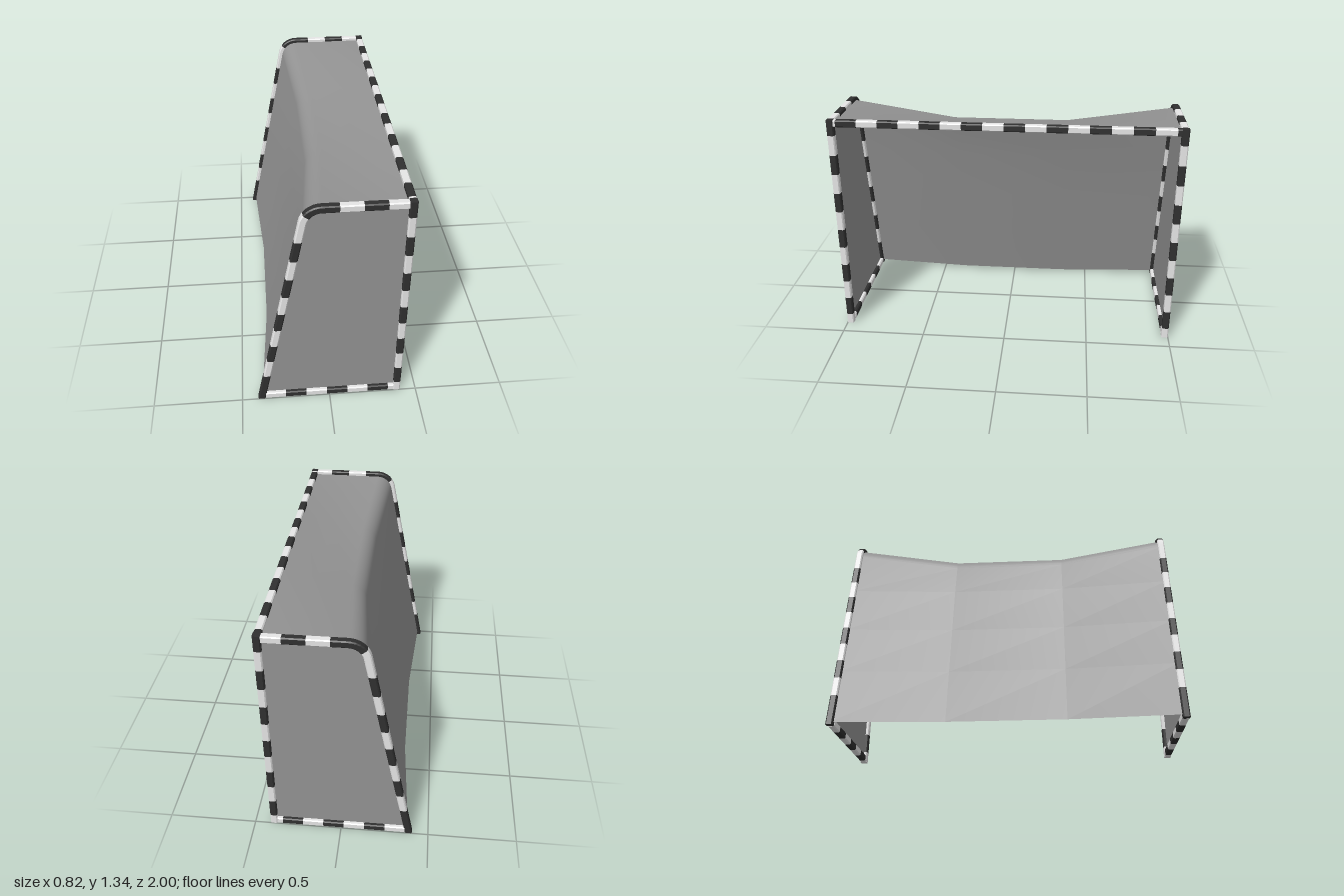
import * as THREE from 'three';
import { mergeGeometries } from 'three/addons/utils/BufferGeometryUtils.js';

const H = 0.02, C = 0.014; // half bar width, chamfer start
const SECTION = [[H, -C], [H, C], [C, H], [-C, H], [-H, C], [-H, -C], [-C, -H], [C, -H]];
const TOP = 1.317, SIDE_Z = 0.98;
const ARC = { x: -0.05, y: 1.22, r: 0.097 }; // rear top bend of the frame
const rad = THREE.MathUtils.degToRad;

// Chamfered square bar swept through stations { p, n, b } (centre and two section axes)
function sweep(stations) {
  const pos = [];
  const rings = stations.map(({ p, n, b }) =>
    SECTION.map(([u, v]) => p.clone().addScaledVector(n, u).addScaledVector(b, v)));
  const tri = (...pts) => pts.forEach((q) => pos.push(q.x, q.y, q.z));
  for (let k = 0; k < rings.length - 1; k++) {
    for (let i = 0; i < 8; i++) {
      const j = (i + 1) % 8, a = rings[k], c = rings[k + 1];
      tri(a[i], a[j], c[j]);
      tri(a[i], c[j], c[i]);
    }
  }
  const first = rings[0], last = rings[rings.length - 1];
  for (let i = 1; i < 7; i++) {
    tri(first[0], first[i + 1], first[i]);
    tri(last[0], last[i], last[i + 1]);
  }
  const g = new THREE.BufferGeometry();
  g.setAttribute('position', new THREE.Float32BufferAttribute(pos, 3));
  g.computeVertexNormals();
  return g;
}

const station = (x, y, z, n, b) => ({
  p: new THREE.Vector3(x, y, z), n: new THREE.Vector3(...n), b: new THREE.Vector3(...b),
});
const Z = [0, 0, 1];
const post = (y) => station(0.39, y, 0, [-1, 0, 0], Z);
const wallX = (y) => -0.388 + 0.196 * y;
const slope = (y) => station(wallX(y), y, 0, [-1.02, 0, 0], Z);
const base = (x) => station(x, 0.02, 0, [0, 1, 0], Z);
const roof = (x) => station(x, TOP, 0, [0, 1, 0], Z);
const cross = (z) => station(0.39, TOP, z, [1, 0, 0], [0, 1, 0]);
const bend = (deg) => {
  const c = Math.cos(rad(deg)), s = Math.sin(rad(deg));
  return station(ARC.x + ARC.r * c, ARC.y + ARC.r * s, 0, [c, s, 0], Z);
};

// Alternating pieces between cuts; colour 0 is light, 1 is dark
function stripes(cuts, at, firstColour) {
  return cuts.slice(1).map((c, i) => ({
    geo: sweep([at(cuts[i]), at(c)]), colour: (i + firstColour) % 2,
  }));
}

export function createModel() {
  const model = new THREE.Group();
  const mat = (name, color, side = THREE.FrontSide) => {
    const m = new THREE.MeshStandardMaterial({ color, side });
    m.name = name;
    return m;
  };
  const paint = [mat('light stripe', 0xe6e6e6), mat('dark stripe', 0x303030)];
  const netting = mat('grey netting', 0x939393, THREE.DoubleSide);

  const addBar = (parent, name, pieces) => {
    const byColour = [0, 1].map((c) =>
      mergeGeometries(pieces.filter((p) => p.colour === c).map((p) => p.geo)));
    const mesh = new THREE.Mesh(mergeGeometries(byColour, true), paint);
    mesh.name = name;
    parent.add(mesh);
  };

  // Stripe boundaries
  const heights = [0.065];
  for (let i = 0; i < 10; i++) heights.push(0.183 + i * 0.118);
  const postCuts = [0, ...heights, 1.337];
  const slopeCuts = [0, ...heights.slice(1, -1)];
  const crossCuts = [0.96];
  for (let i = 0; i < 17; i++) crossCuts.push(0.947 - i * 0.1177);
  crossCuts.push(-0.96);
  crossCuts.reverse();

  // Side frames: post, base rail, sloping rear rail, bend and roof rail
  for (const s of [1, -1]) {
    const frame = new THREE.Group();
    frame.name = s > 0 ? 'frontSideFrame' : 'rearSideFrame';
    frame.position.z = s * SIDE_Z;
    addBar(frame, 'goalPost', stripes(postCuts, post, 0));
    addBar(frame, 'baseRail', stripes([-0.365, -0.25, -0.133, -0.015, 0.103, 0.22, 0.338, 0.37], base, 0));
    addBar(frame, 'slopingRail', [
      ...stripes(slopeCuts, slope, 1),
      { geo: sweep([slope(slopeCuts[slopeCuts.length - 1]), ...[169, 160, 151, 143].map(bend)]), colour: 0 },
    ]);
    addBar(frame, 'roofRail', [
      { geo: sweep([143, 132, 121, 110, 100, 90].map(bend).concat(roof(0.035))), colour: 1 },
      ...stripes([0.035, 0.152, 0.27, 0.37], roof, 0),
    ]);
    model.add(frame);
  }

  // Crossbar between the posts
  addBar(model, 'crossbar', stripes(crossCuts, cross, 1));

  // Net profile from crossbar over the bend and down to the ground, with its sag
  const profile = [{ x: 0.385, y: TOP, dx: 0, dy: 0 }];
  const addPoint = (x, y, dx, dy) => profile.push({ x, y, dx, dy });
  addPoint(0.16, TOP, 0.03, -0.042);
  for (let d = 90; d <= 170; d += 10) {
    const { p } = bend(Math.min(d, 169));
    addPoint(p.x, p.y, 0.058, -0.078);
  }
  for (const y of [0.95, 0.65, 0.35, 0.02]) addPoint(wallX(y), y, 0.043 + 0.012 * y, 0);

  // Roof and rear net, pulled inward between the side frames
  const pos = [], index = [];
  const rows = [[-SIDE_Z, 0], [-0.34, 1], [0.34, 1], [SIDE_Z, 0]];
  const n = profile.length;
  rows.forEach(([z, sag], r) => profile.forEach((p, i) => {
    pos.push(p.x + p.dx * sag, p.y + p.dy * sag, z);
    if (r < rows.length - 1 && i < n - 1) {
      const a = r * n + i, b = a + n;
      index.push(a, b, a + 1, b, b + 1, a + 1);
    }
  }));
  const netGeo = new THREE.BufferGeometry();
  netGeo.setAttribute('position', new THREE.Float32BufferAttribute(pos, 3));
  netGeo.setIndex(index);
  netGeo.computeVertexNormals();
  const net = new THREE.Mesh(netGeo, netting);
  net.name = 'roofAndRearNet';
  model.add(net);

  // Flat side nets inside the frames
  const outline = new THREE.Shape(
    [...profile, { x: 0.385, y: 0.02 }].map((p) => new THREE.Vector2(p.x, p.y)));
  for (const s of [1, -1]) {
    const side = new THREE.Mesh(new THREE.ShapeGeometry(outline), netting);
    side.name = s > 0 ? 'frontSideNet' : 'rearSideNet';
    side.position.z = s * SIDE_Z;
    model.add(side);
  }
  return model;
}
